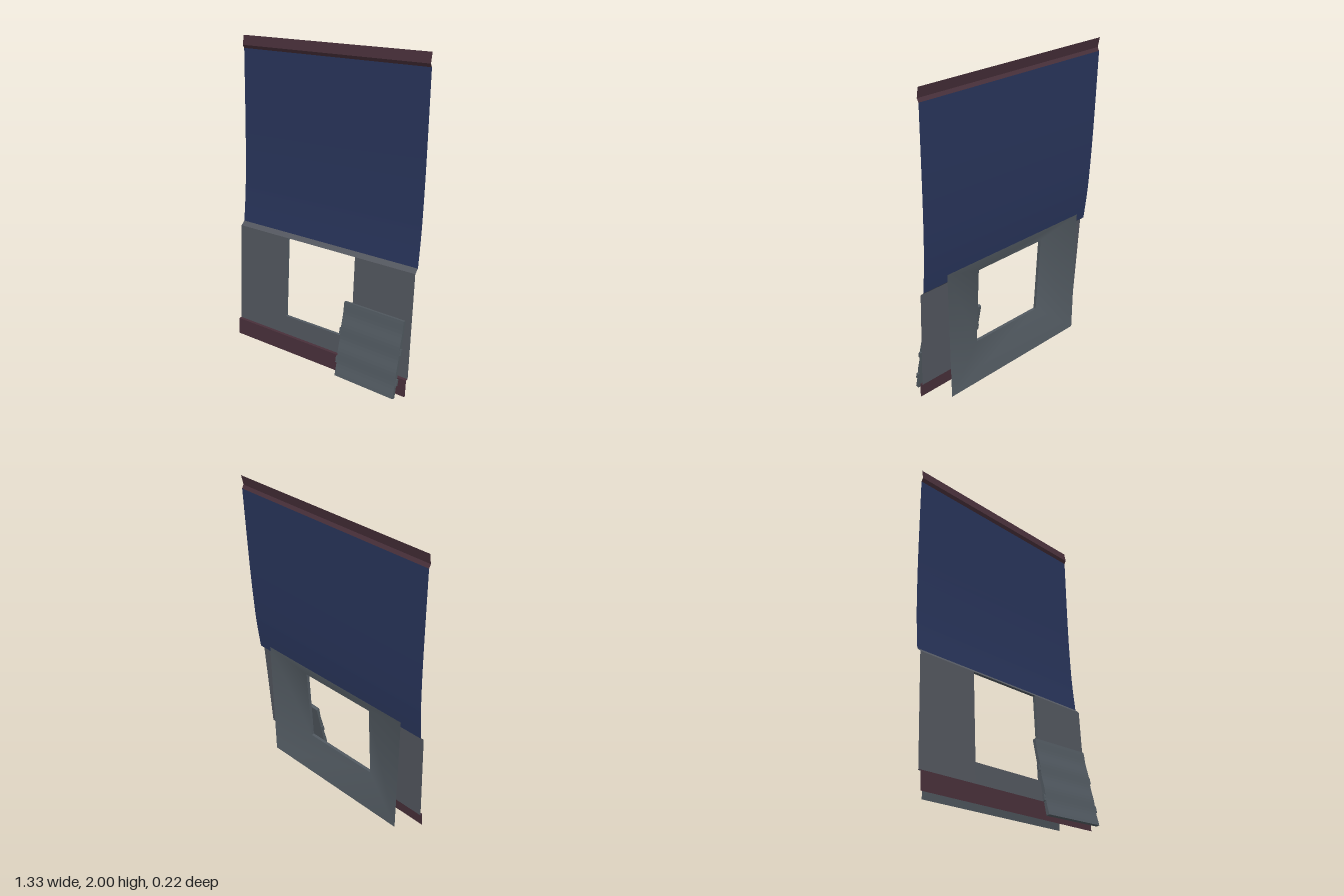
import * as THREE from 'three';

const HALF = 0.665;                                   // half width of the wall
const HOLE = { l: -0.27, r: 0.25, b: 0.235, t: 0.77 }; // wall opening

const paint = (name, color) => {
  const m = new THREE.MeshStandardMaterial({ color, side: THREE.DoubleSide });
  m.name = name;
  return m;
};

// z of the sloping lower wall at height y
const wallZ = (y) => -0.035 * (y - 0.11) / 0.66;

// Sheet swept along x from a [y, z] profile; sharp splits every strip
function sheet(profile, x0, x1, sharp = true) {
  const pos = [], idx = [];
  const strips = sharp
    ? profile.slice(1).map((p, i) => [profile[i], p])
    : [profile];
  for (const strip of strips) {
    const start = pos.length / 3;
    for (const [y, z] of strip) pos.push(x0, y, z, x1, y, z);
    for (let i = 0; i < strip.length - 1; i++) {
      const a = start + i * 2;
      idx.push(a, a + 1, a + 3, a, a + 3, a + 2);
    }
  }
  const g = new THREE.BufferGeometry();
  g.setAttribute('position', new THREE.Float32BufferAttribute(pos, 3));
  g.setIndex(idx);
  g.computeVertexNormals();
  return g;
}

// Four-sided band joining two rectangular loops, facing the back
function band(inner, outer) {
  const pos = [...inner, ...outer].flat(), idx = [];
  for (let i = 0; i < 4; i++) {
    const j = (i + 1) % 4;
    idx.push(i, j, j + 4, i, j + 4, i + 4);
  }
  const g = new THREE.BufferGeometry();
  g.setAttribute('position', new THREE.Float32BufferAttribute(pos, 3));
  g.setIndex(idx);
  return g;
}

const loop = (l, r, b, t, zb, zt) => [[l, b, zb], [r, b, zb], [r, t, zt], [l, t, zt]];

export function createModel() {
  const group = new THREE.Group();
  group.name = 'wallPanelWithVent';
  const blue = paint('navyWall', 0x28345a);
  const grey = paint('greyWall', 0x52565e);
  const steel = paint('steelGrey', 0x515960);
  const red = paint('maroonTrim', 0x472f39);

  const add = (name, geometry, material, parent = group) => {
    const m = new THREE.Mesh(geometry, material);
    m.name = name;
    parent.add(m);
    return m;
  };

  // Upper wall, gently curved
  const curve = new THREE.SplineCurve([
    [0.795, -0.062], [0.95, -0.079], [1.1, -0.09], [1.4, -0.102], [1.92, -0.112],
  ].map(([y, z]) => new THREE.Vector2(y, z)));
  add('upperWall', sheet(curve.getPoints(16).map((p) => [p.x, p.y]), -HALF, HALF, false), blue);

  // Trim along the top, with its small underside lip
  add('topTrim', sheet([[1.92, -0.112], [1.94, -0.1], [2, -0.112]], -HALF, HALF), red);

  // Ledge between the lower and upper wall
  add('ledge', sheet([[0.77, -0.035], [0.795, -0.062]], -HALF, HALF), grey);

  // Lower wall around the opening
  const lower = (y0, y1) => [[y0, wallZ(y0)], [y1, wallZ(y1)]];
  add('lowerWallRight', sheet(lower(0.108, 0.77), -HALF, HOLE.l), grey);
  add('lowerWallLeft', sheet(lower(0.108, 0.77), HOLE.r, HALF), grey);
  add('lowerWallSill', sheet(lower(0.108, HOLE.b), HOLE.l, HOLE.r), grey);

  // Baseboard
  add('baseboard', sheet([[0, 0.026], [0.108, 0.018], [0.11, 0]], -HALF, HALF), red);

  // Duct behind the opening: short reveal, then a flared flange
  const front = loop(HOLE.l, HOLE.r, HOLE.b, HOLE.t, wallZ(HOLE.b), wallZ(HOLE.t));
  const back = loop(HOLE.l, HOLE.r, HOLE.b, HOLE.t, -0.026, -0.057);
  const rim = loop(-0.548, 0.525, 0, 0.875, -0.105, -0.105);
  const reveal = band(front, back).toNonIndexed();
  reveal.computeVertexNormals();
  add('openingReveal', reveal, steel);
  const flange = band(back, rim);
  flange.computeVertexNormals();
  add('backFlange', flange, steel);

  // Loose cover leaning on the wall, with shallow ripples across its face
  const cover = new THREE.Group();
  cover.name = 'looseCover';
  const w = 0.43, h = 0.475, d = 0.022;
  const shape = new THREE.Shape();
  shape.moveTo(-d / 2, -h / 2);
  const steps = 24;
  for (let i = 0; i <= steps; i++) {
    const t = i / steps;
    shape.lineTo(d / 2 - 0.002 + 0.002 * Math.cos(t * Math.PI * 6), (t - 0.5) * h);
  }
  shape.lineTo(-d / 2, h / 2);
  const slab = new THREE.ExtrudeGeometry(shape, { depth: w, bevelEnabled: false });
  slab.translate(0, 0, -w / 2).rotateY(-Math.PI / 2);
  add('coverPlate', slab, steel, cover);

  // Latch tabs on both edges of the cover
  for (const side of [-1, 1]) {
    for (const y of [0.05, -0.135]) {
      const tab = add('coverTab', new THREE.BoxGeometry(0.02, 0.04, 0.014), steel, cover);
      tab.position.set(side * (w / 2 + 0.001), y, 0);
    }
  }
  cover.rotation.set(-0.205, -0.035, 0);
  cover.position.set(0.418, 0.247, 0.046);
  group.add(cover);

  return group;
}
